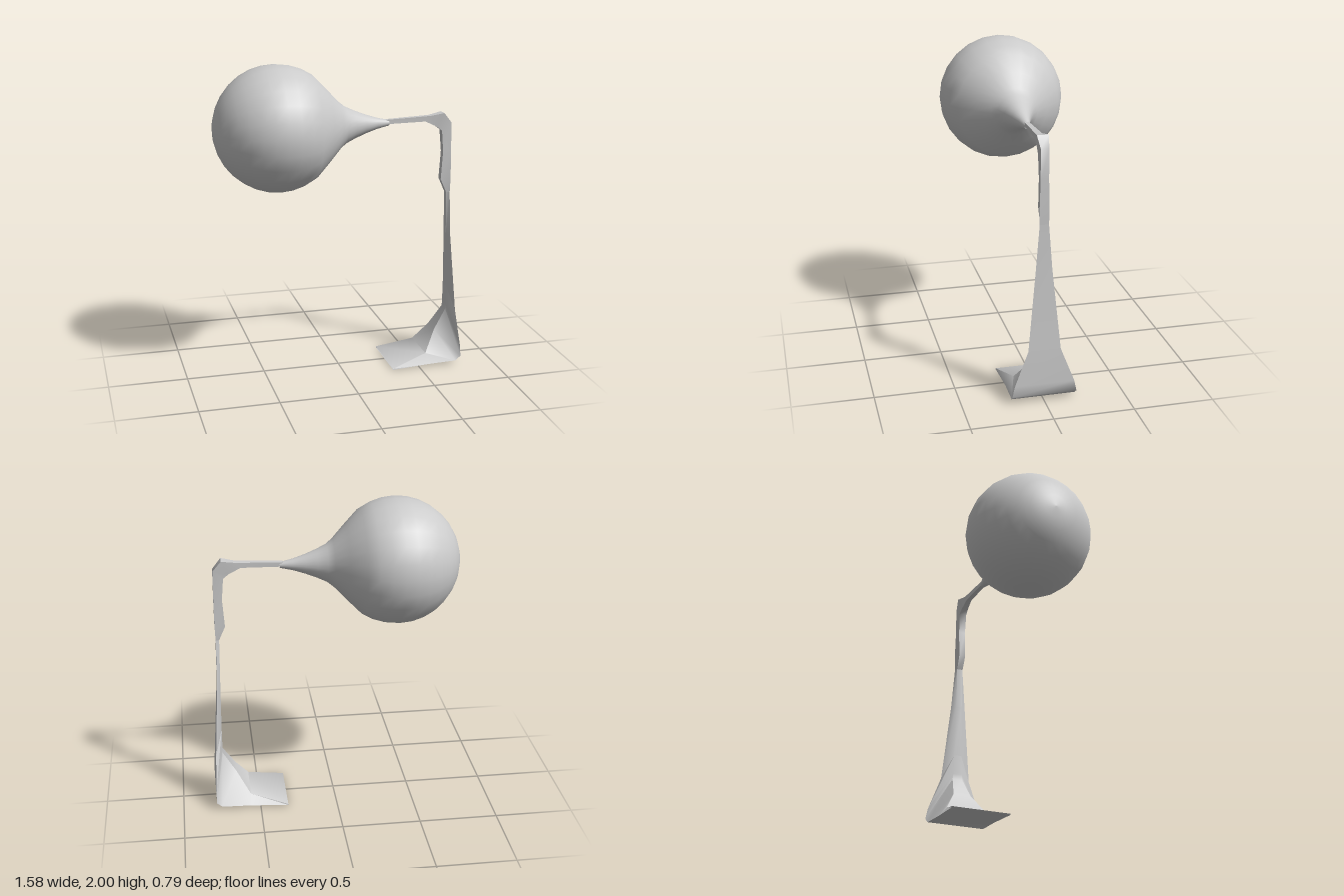
import * as THREE from 'three';
import { toCreasedNormals } from 'three/addons/utils/BufferGeometryUtils.js';

const material = new THREE.MeshStandardMaterial({ color: 0xcccccc, side: THREE.DoubleSide });

// Skin four-cornered sections: [inner x, y, half width, outer x, y, half width]
function loft(sections) {
  const pos = [], index = [];
  for (const [xi, yi, wi, xo, yo, wo] of sections) {
    pos.push(xi, yi, wi, xi, yi, -wi, xo, yo, -wo, xo, yo, wo);
  }
  for (let i = 0; i < sections.length - 1; i++) {
    for (let j = 0; j < 4; j++) {
      const a = i * 4 + j, a2 = i * 4 + (j + 1) % 4;
      index.push(a, a + 4, a2, a2, a + 4, a2 + 4);
    }
  }
  const geo = new THREE.BufferGeometry();
  geo.setAttribute('position', new THREE.Float32BufferAttribute(pos, 3));
  geo.setIndex(index);
  return toCreasedNormals(geo, 0.9);
}

export function createModel() {
  const group = new THREE.Group();

  // Globe that tapers through a flared collar into the arm
  const profile = [];
  for (let i = 0; i <= 11; i++) {
    const t = (i / 11) * Math.PI * 0.69;
    profile.push(new THREE.Vector2(0.397 * Math.sin(t), -0.395 - 0.397 * Math.cos(t)));
  }
  for (const [x, r] of [[-0.08, 0.235], [0, 0.15], [0.04, 0.118], [0.1, 0.09], [0.17, 0.062], [0.25, 0.036], [0.33, 0.018]]) {
    profile.push(new THREE.Vector2(r, x));
  }
  const globeGeo = new THREE.LatheGeometry(profile, 24);
  globeGeo.rotateZ(-Math.PI / 2);
  const globe = new THREE.Mesh(globeGeo, material);
  globe.name = 'globeShade';
  globe.position.y = 1.605;
  group.add(globe);

  // Wedge foot sweeping up into the tapered post
  const foot = [
    [0.32, 0.008, 0.2, 0.32, 0, 0.2],
    [0.56, 0.07, 0.14, 0.56, 0.012, 0.192],
    [0.645, 0.2, 0.06, 0.75, 0.02, 0.197],
    [0.73, 0.33, 0.035, 0.785, 0.05, 0.2],
    [0.73, 0.37, 0.03, 0.785, 0.12, 0.185],
    [0.73, 0.5, 0.025, 0.775, 0.34, 0.1],
  ];
  const post = [
    foot[foot.length - 1],
    [0.725, 0.85, 0.02, 0.745, 0.85, 0.05],
    [0.72, 1.13, 0.02, 0.742, 1.13, 0.028],
  ];
  // Thickened sleeve, elbow and thin arm
  const arm = [
    post[post.length - 1],
    [0.68, 1.22, 0.022, 0.745, 1.22, 0.03],
    [0.692, 1.4, 0.022, 0.745, 1.4, 0.025],
    [0.68, 1.54, 0.025, 0.743, 1.59, 0.025],
    [0.645, 1.567, 0.022, 0.69, 1.655, 0.035],
    [0.57, 1.603, 0.017, 0.6, 1.638, 0.02],
    [0.31, 1.598, 0.014, 0.31, 1.626, 0.014],
  ];
  for (const [name, sections] of Object.entries({ foot, post, arm })) {
    const mesh = new THREE.Mesh(loft(sections), material);
    mesh.name = name;
    group.add(mesh);
  }
  return group;
}
